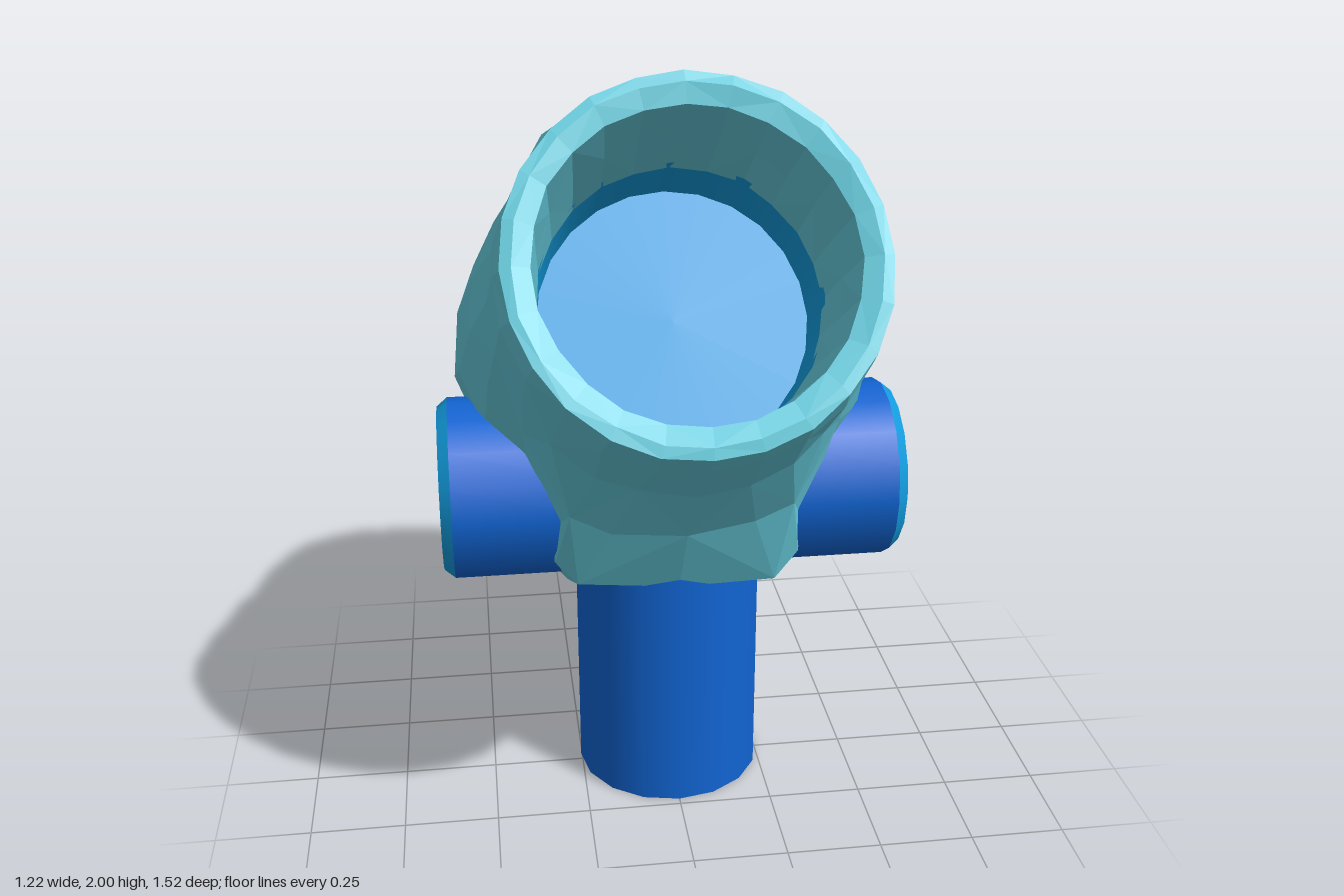
import * as THREE from 'three';

const teal = new THREE.MeshStandardMaterial({ color: 0x66cbdc, flatShading: true });
teal.name = 'teal shell';
const blue = new THREE.MeshStandardMaterial({ color: 0x1164d2 });
blue.name = 'deep blue';
const sky = new THREE.MeshStandardMaterial({ color: 0x129bdd, side: THREE.DoubleSide });
sky.name = 'bright blue';

// Mouth axis (z, y), pointing forward and up
const AXIS = { z: 0.837, y: 0.547 };
const MOUTH = { z: 0.515, y: 1.625 };
const SIDES = 24;

// Half-width down a section that pinches in above the neck: [t, width]
const PINCH = [[0, 0], [0.02, 0.28], [0.08, 0.55], [0.2, 0.82], [0.35, 0.97], [0.5, 1], [0.6, 0.95],
  [0.7, 0.78], [0.8, 0.63], [0.92, 0.6], [0.98, 0.57], [1, 0]];

function pinch(t) {
  for (let i = 1; i < PINCH.length; i++) {
    const [t0, w0] = PINCH[i - 1], [t1, w1] = PINCH[i];
    if (t <= t1) return w0 + (w1 - w0) * (t - t0) / (t1 - t0);
  }
  return 0;
}

// Round section across the mouth axis, s behind the rim
function mouthRing(s, r, w) {
  const z = MOUTH.z - AXIS.z * s, y = MOUTH.y - AXIS.y * s;
  return [z - AXIS.y * r, y + AXIS.z * r, z + AXIS.y * r, y - AXIS.z * r, w, 0, 0.003];
}

function shellGeometry() {
  // Each section: top z, top y, bottom z, bottom y, half-width, pinch amount, roughness
  const sections = [
    [-0.75, 1.24, -0.66, 1.06, 0.2, 0, 0.005],
    [-0.76, 1.35, -0.52, 0.86, 0.39, 0, 0.01],
    [-0.7, 1.48, -0.36, 0.66, 0.5, 0.35, 0.012],
    [-0.6, 1.585, -0.24, 0.58, 0.55, 0.8, 0.012],
    [-0.44, 1.67, 0.03, 0.57, 0.56, 1, 0.012],
    [-0.27, 1.745, 0.21, 0.65, 0.545, 1, 0.012],
    [-0.1, 1.83, 0.3, 0.85, 0.51, 0.5, 0.012],
    [0.09, 1.915, 0.45, 1.02, 0.475, 0.1, 0.01],
    [0.22, 1.975, 0.68, 1.19, 0.455, 0, 0.006],
    mouthRing(0, 0.448, 0.44),
    mouthRing(-0.005, 0.42, 0.415),
    mouthRing(0.01, 0.372, 0.372),
    mouthRing(0.18, 0.36, 0.36),
    mouthRing(0.36, 0.35, 0.35),
  ];
  let seed = 7;
  const rough = (k) => {
    seed = (seed * 16807) % 2147483647;
    return (seed / 2147483647 - 0.5) * 2 * k;
  };
  const pos = [], index = [];
  for (const [tz, ty, bz, by, w, k, n] of sections) {
    for (let j = 0; j < SIDES; j++) {
      const a = (j / SIDES) * Math.PI * 2;
      const t = (1 - Math.cos(a)) / 2;
      const side = Math.sin(a);
      const x = w * ((1 - k) * side + k * Math.sign(side) * pinch(t));
      pos.push(x + rough(n), ty + (by - ty) * t + rough(n), tz + (bz - tz) * t + rough(n));
    }
  }
  for (let i = 0; i < sections.length - 1; i++) {
    for (let j = 0; j < SIDES; j++) {
      const a = i * SIDES + j, b = i * SIDES + (j + 1) % SIDES;
      const c = a + SIDES, d = b + SIDES;
      if ((i + j) % 2) index.push(a, c, b, b, c, d);
      else index.push(a, c, d, a, d, b);
    }
  }
  // Close the back
  const tip = pos.length / 3;
  pos.push(0, 1.15, -0.725);
  for (let j = 0; j < SIDES; j++) index.push(tip, j, (j + 1) % SIDES);
  const g = new THREE.BufferGeometry();
  g.setAttribute('position', new THREE.Float32BufferAttribute(pos, 3));
  g.setIndex(index);
  g.computeVertexNormals();
  return g;
}

function add(parent, name, geometry, material) {
  const mesh = new THREE.Mesh(geometry, material);
  mesh.name = name;
  parent.add(mesh);
  return mesh;
}

export function createModel() {
  const model = new THREE.Group();
  model.name = 'spout';

  add(model, 'shell', shellGeometry(), teal);

  // Neck pipe
  const neck = add(model, 'neck', new THREE.CylinderGeometry(0.253, 0.253, 0.8, 16), blue);
  neck.position.set(0, 0.4, -0.025);

  // Recessed cup inside the mouth; local +y follows the mouth axis
  const cup = new THREE.Group();
  cup.name = 'mouthCup';
  cup.position.set(0, MOUTH.y - AXIS.y * 0.52, MOUTH.z - AXIS.z * 0.52);
  cup.rotation.x = Math.atan2(AXIS.z, AXIS.y);
  const wall = add(cup, 'cupWall', new THREE.CylinderGeometry(0.352, 0.345, 0.19, SIDES, 1, true), sky);
  wall.position.y = 0.095;
  const floor = add(cup, 'cupFloor', new THREE.CircleGeometry(0.346, SIDES), sky);
  floor.rotation.x = -Math.PI / 2;
  model.add(cup);

  // Side knobs with bevelled rims
  for (const s of [1, -1]) {
    const knob = new THREE.Group();
    knob.name = s > 0 ? 'leftKnob' : 'rightKnob';
    knob.position.set(0, 0.865, -0.03);
    knob.rotation.z = -s * Math.PI / 2;
    const barrel = add(knob, 'barrel', new THREE.CylinderGeometry(0.241, 0.241, 0.38, 16), blue);
    barrel.position.y = 0.39;
    const bevel = add(knob, 'bevel', new THREE.CylinderGeometry(0.218, 0.241, 0.028, 16, 1, true), sky);
    bevel.position.y = 0.594;
    const face = add(knob, 'face', new THREE.CircleGeometry(0.218, 16), blue);
    face.rotation.set(-Math.PI / 2, 0, Math.PI / 2);
    face.position.y = 0.608;
    model.add(knob);
  }
  return model;
}
